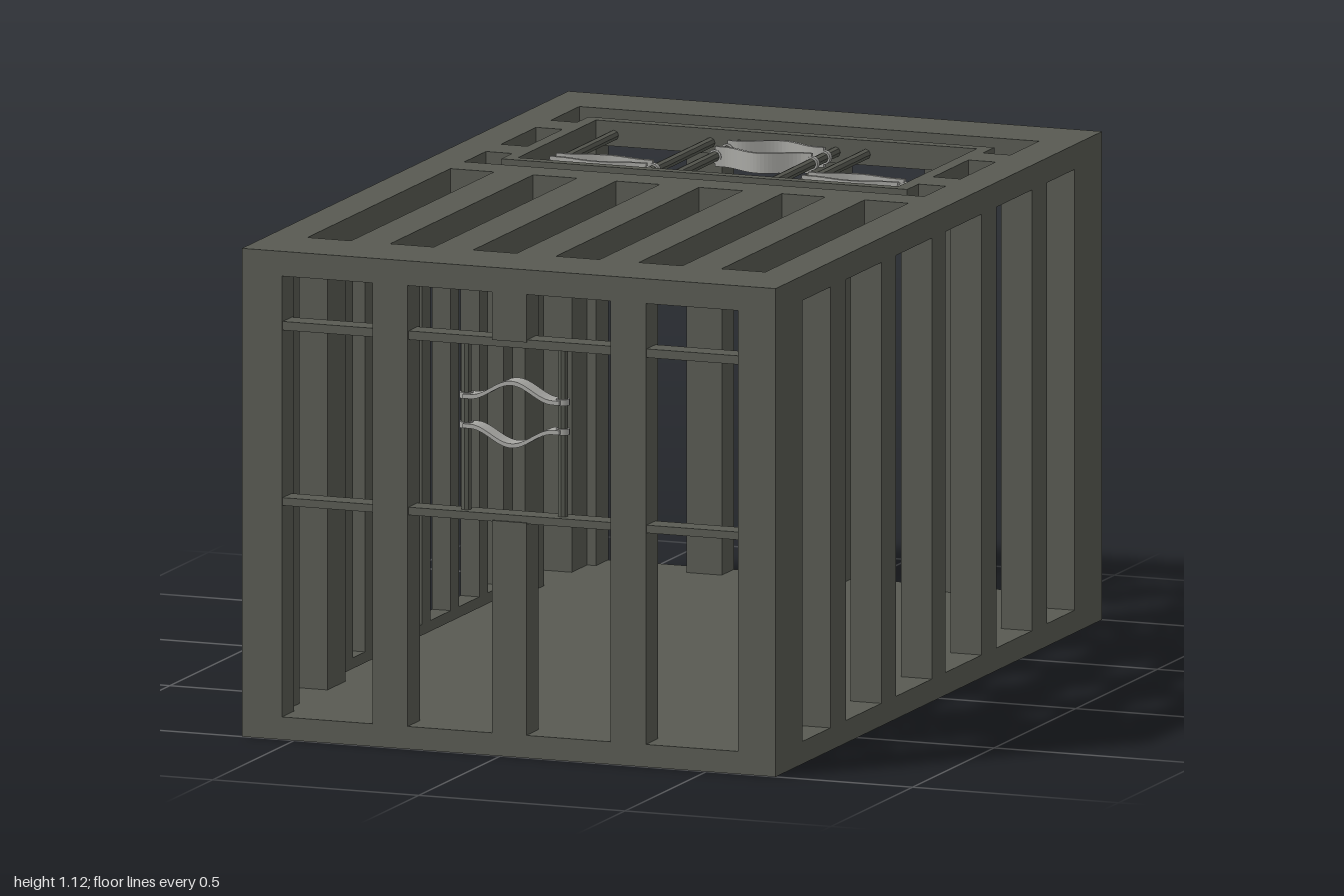
import * as THREE from 'three';

const iron = new THREE.MeshStandardMaterial({ color: 0x585a52, flatShading: true });
const steel = new THREE.MeshStandardMaterial({ color: 0xa8a8a4, side: THREE.DoubleSide });

// Overall body extents
const X0 = -0.627, X1 = 0.668, H = 1.122, FLOOR = 0.052, ROOF = 1.065, T = 0.075;

const rect = (a0, b0, a1, b1) => [[a0, b0], [a1, b0], [a1, b1], [a0, b1]];

// Flat panel with polygonal holes, extruded along +z
function panel(outline, holes, depth) {
  const toPts = (pts) => pts.map(([x, y]) => new THREE.Vector2(x, y));
  const shape = new THREE.Shape(toPts(outline));
  for (const h of holes) shape.holes.push(new THREE.Path(toPts(h)));
  return new THREE.ExtrudeGeometry(shape, { depth, bevelEnabled: false });
}

function add(parent, name, geometry, material = iron) {
  const mesh = new THREE.Mesh(geometry, material);
  mesh.name = name;
  parent.add(mesh);
  return mesh;
}

// Box given by its two extreme corners
function box(parent, name, [x0, y0, z0], [x1, y1, z1]) {
  const mesh = add(parent, name, new THREE.BoxGeometry(x1 - x0, y1 - y0, z1 - z0));
  mesh.position.set((x0 + x1) / 2, (y0 + y1) / 2, (z0 + z1) / 2);
  return mesh;
}

// Pair of rods carrying two curved clasp bands; local x across, y along the rods, z is band depth
function clasp(name, { rodLow, rodHigh, gap, bulge }) {
  const g = new THREE.Group();
  g.name = name;
  const half = 0.117;
  for (const s of [-1, 1]) {
    const rod = add(g, 'claspRod', new THREE.CylinderGeometry(0.012, 0.012, rodHigh - rodLow, 8));
    rod.position.set(s * half, (rodLow + rodHigh) / 2, 0);
  }
  for (const s of [-1, 1]) {
    // Band: flat at both ends, arched in the middle
    const upper = [], lower = [], n = 28, t = 0.005;
    for (let i = 0; i <= n; i++) {
      const x = -half + (2 * half * i) / n;
      const u = Math.min(1, Math.abs(x) / 0.1);
      const y = s * (gap / 2 + bulge * 0.5 * (1 + Math.cos(Math.PI * u)));
      upper.push([x, y + t]);
      lower.unshift([x, y - t]);
    }
    const band = add(g, 'claspBand', panel([...lower, ...upper], [], 0.046), steel);
    band.position.z = -0.023;
    for (const e of [-1, 1]) {
      const sleeve = add(g, 'claspSleeve', new THREE.CylinderGeometry(0.016, 0.016, 0.014, 12), steel);
      sleeve.position.set(e * half, s * gap / 2, 0);
    }
  }
  return g;
}

export function createModel() {
  const model = new THREE.Group();
  model.name = 'cage';

  box(model, 'floor', [X0, 0, -1], [X1, FLOOR, 1]);

  // Front and back walls, sharing the same columns
  const columns = [[-0.53, -0.31], [-0.225, -0.02], [0.063, 0.267], [0.353, 0.576]];
  const col = ([a, b]) => rect(a, FLOOR, b, ROOF);
  const endOutline = rect(X0, FLOOR, X1, ROOF);
  add(model, 'backWall', panel(endOutline, columns.map(col), T)).position.z = -1;
  const frontHoles = [columns[0], [-0.225, 0.267], columns[3]].map(col);
  add(model, 'frontWall', panel(endOutline, frontHoles, T)).position.z = 1 - T;
  for (const [y0, y1] of [[FLOOR, 0.54], [0.955, ROOF]])
    box(model, 'frontCentrePost', [-0.02, y0, 1 - T], [0.063, y1, 1]);
  for (const [a, b] of [columns[0], [-0.225, 0.267], columns[3]])
    for (const [y0, y1] of [[0.537, 0.555], [0.94, 0.96]])
      box(model, 'frontCrossBar', [a, y0, 0.94], [b, y1, 0.995]);
  const neck = clasp('frontClasp', { rodLow: -0.23, rodHigh: 0.157, gap: 0.068, bulge: 0.038 });
  neck.position.set(0.021, 0.784, 0.965);
  model.add(neck);

  // Side walls: panel x is mapped onto model z
  function sideWall(name, holes, x) {
    const g = panel(rect(-1 + T, FLOOR, 1 - T, ROOF), holes, T);
    g.rotateY(-Math.PI / 2);
    add(model, name, g).position.x = x;
  }
  const bays = [[-0.832, -0.662], [-0.57, -0.352], [-0.262, -0.042],
    [0.043, 0.263], [0.353, 0.57], [0.665, 0.836]];
  sideWall('leftWall', bays.map(col), X1);
  sideWall('rightWall', [bays[0], [-0.545, 0.555], bays[5]].map(col), X0 + T);

  // Barred door in the right wall
  const door = new THREE.Group();
  door.name = 'door';
  model.add(door);
  const edges = [0.47, 0.345, 0.17, -0.005, -0.18, -0.355, -0.51];
  const doorHoles = edges.slice(1).map((z, i) => rect(z + (i === 5 ? 0.058 : 0.052), 0.09, edges[i], 1.005));
  const doorGeo = panel(rect(-0.51, 0.065, 0.522, 1.03), doorHoles, 0.045);
  doorGeo.rotateY(-Math.PI / 2);
  add(door, 'doorFrame', doorGeo).position.x = X0 + 0.06;
  const hinge = add(door, 'hingePin', new THREE.CylinderGeometry(0.016, 0.016, ROOF - FLOOR, 10));
  hinge.position.set(X0 + 0.038, (ROOF + FLOOR) / 2, -0.49);

  // Two chamfered latch plates, one on the door and one on the post
  const plate = [[-0.672, 0.58], [-0.66, 0.569], [-0.57, 0.569], [-0.57, 0.608], [-0.66, 0.608], [-0.672, 0.597]];
  for (const z of [0.506, 0.542])
    add(model, 'latchPlate', panel(plate, [], 0.012)).position.z = z;

  // Roof: long slots in front, hatch surrounded by slots behind. Panel y is -z.
  const roofHoles = [];
  for (let i = 0; i < 6; i++) {
    const a = -0.537 + i * 0.201;
    roofHoles.push(rect(a, -0.826, a + 0.106, 0.05));
  }
  const [oL, oR, iL, iR] = [-0.537, 0.578, -0.473, 0.512];
  roofHoles.push(
    rect(-0.443, 0.227, 0.48, 0.705),
    [[oL, 0.665], [iL, 0.665], [iL, 0.735], [iR, 0.735], [iR, 0.665], [oR, 0.665], [oR, 0.84], [oL, 0.84]],
    [[oL, 0.137], [oR, 0.137], [oR, 0.268], [iR, 0.268], [iR, 0.2], [iL, 0.2], [iL, 0.268], [oL, 0.268]],
    rect(oL, 0.36, iL, 0.575),
    rect(iR, 0.36, oR, 0.575),
  );
  const roofGeo = panel(rect(X0, -1, X1, 1), roofHoles, H - ROOF);
  roofGeo.rotateX(-Math.PI / 2);
  add(model, 'roof', roofGeo).position.y = ROOF;

  // Roof clasps: one wide in the middle, a narrow one on each side
  const roofClasps = [
    [0.021, -0.6, 0.076, 0.04], [-0.283, -0.336, 0.04, 0.02], [0.328, -0.336, 0.04, 0.02],
  ];
  for (const [x, z, gap, bulge] of roofClasps) {
    const c = clasp('roofClasp', { rodLow: 0.227 + z, rodHigh: 0.705 + z, gap, bulge });
    c.rotation.x = -Math.PI / 2;
    c.position.set(x, 1.09, z);
    model.add(c);
  }
  return model;
}
